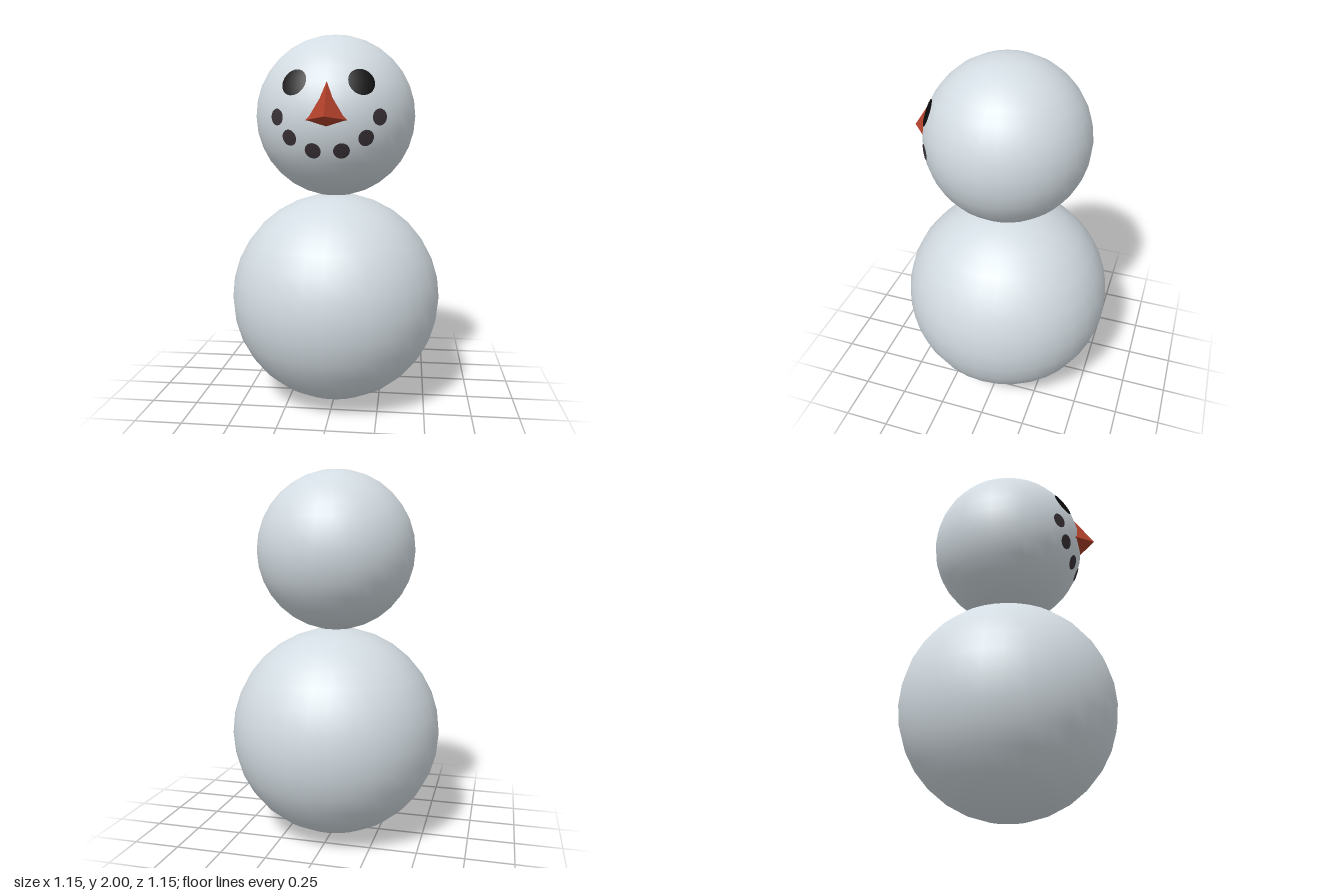
import * as THREE from 'three';

const HEAD_Y = 1.571, HEAD_R = 0.429, BODY_R = 0.576;

const material = (name, color) => {
  const m = new THREE.MeshStandardMaterial({ color });
  m.name = name;
  return m;
};

export function createModel() {
  const snow = material('snow', 0xd3dce2);
  const carrot = material('carrot', 0xb0402a);
  const black = material('eye black', 0x0b0b0b);
  const coal = material('coal', 0x3a3237);
  const group = new THREE.Group();
  group.name = 'snowman';

  const add = (name, geometry, mat, y = 0) => {
    const mesh = new THREE.Mesh(geometry, mat);
    mesh.name = name;
    mesh.position.y = y;
    group.add(mesh);
    return mesh;
  };

  // Two stacked snowballs
  add('body', new THREE.SphereGeometry(BODY_R, 32, 16), snow, BODY_R);
  add('head', new THREE.SphereGeometry(HEAD_R, 32, 16), snow, HEAD_Y);

  // Round patch lying on the head at front position (x, y)
  const up = new THREE.Vector3(0, 1, 0);
  const patch = (name, x, y, radius, mat) => {
    const dy = y - HEAD_Y;
    const dir = new THREE.Vector3(x, dy, Math.sqrt(HEAD_R ** 2 - x * x - dy * dy)).normalize();
    const cap = new THREE.SphereGeometry(HEAD_R + 0.002, 24, 5, 0, Math.PI * 2, 0, radius / HEAD_R);
    add(name, cap, mat, HEAD_Y).quaternion.setFromUnitVectors(up, dir);
  };

  // Eyes and the curved row of mouth dots, mirrored
  for (const [side, s] of [['left', 1], ['right', -1]]) {
    patch(`${side}Eye`, s * 0.167, 1.735, 0.069, black);
    [[0.255, 1.566], [0.19, 1.465], [0.071, 1.402]].forEach(([x, y], i) =>
      patch(`${side}MouthDot${i + 1}`, s * x, y, 0.041, coal));
  }

  // Pointed nose: four flat faces meeting at the tip
  const tip = [0, 1.567, 0.51];
  const rim = [[0, 1.745, 0.39], [-0.106, 1.55, 0.41], [0, 1.52, 0.423], [0.106, 1.55, 0.41]];
  const points = rim.flatMap((p, i) => [...tip, ...p, ...rim[(i + 1) % 4]]);
  const nose = new THREE.BufferGeometry();
  nose.setAttribute('position', new THREE.Float32BufferAttribute(points, 3));
  nose.computeVertexNormals();
  add('nose', nose, carrot);

  return group;
}
